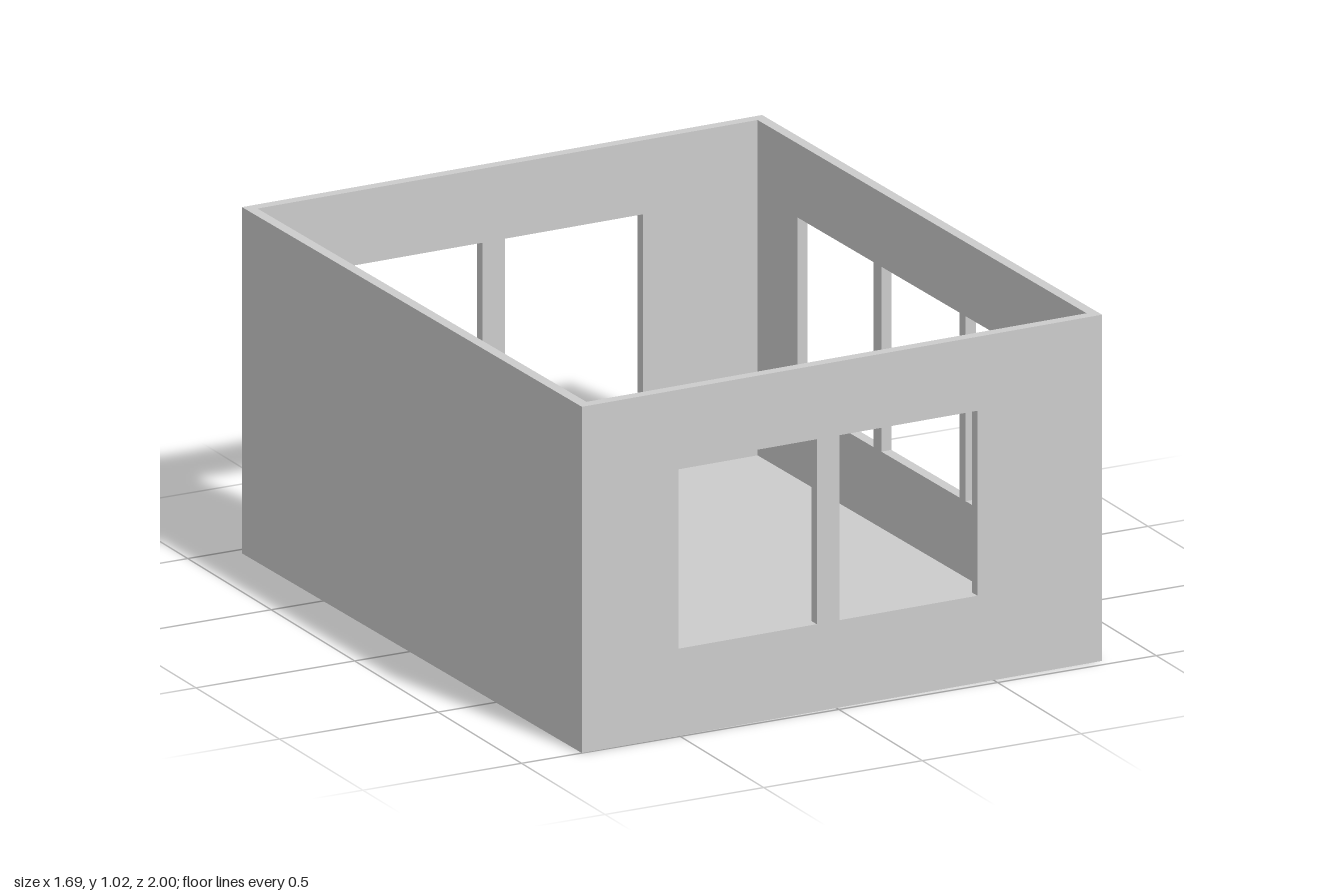
import * as THREE from 'three';

const W = 1.655, D = 1.97, H = 1.02, T = 0.032; // outer width, depth, height, wall thickness
const SILL = 0.257, HEAD = 0.802;               // window opening heights

const material = new THREE.MeshStandardMaterial({ color: 0xcccccc });

function rect(path, x0, y0, x1, y1) {
  path.moveTo(x0, y0);
  path.lineTo(x1, y0);
  path.lineTo(x1, y1);
  path.lineTo(x0, y1);
  path.closePath();
  return path;
}

// Upright wall in the xy plane with window openings given as [from, to] along its length
function wall(name, length, windows) {
  const shape = rect(new THREE.Shape(), -length / 2, 0, length / 2, H);
  for (const [a, b] of windows) shape.holes.push(rect(new THREE.Path(), a, SILL, b, HEAD));
  const geometry = new THREE.ExtrudeGeometry(shape, { depth: T, bevelEnabled: false });
  const mesh = new THREE.Mesh(geometry, material);
  mesh.name = name;
  return mesh;
}

export function createModel() {
  const room = new THREE.Group();
  room.name = 'room';

  // Front and back walls with matching pairs of windows
  const pair = [[-0.52, -0.08], [-0.008, 0.431]];
  const front = wall('frontWall', W, pair);
  front.position.z = D / 2 - T;
  const back = wall('backWall', W, pair);
  back.position.z = -D / 2;

  // Left wall with three windows, right wall solid; both fit between front and back
  const left = wall('leftWall', D - 2 * T, [[-0.695, -0.253], [-0.218, 0.236], [0.281, 0.721]]);
  left.rotation.y = Math.PI / 2;
  left.position.x = W / 2 - T;
  const right = wall('rightWall', D - 2 * T, []);
  right.rotation.y = Math.PI / 2;
  right.position.x = -W / 2;

  // Floor slab inside the walls
  const floor = new THREE.Mesh(new THREE.BoxGeometry(W - 2 * T, T, D - 2 * T), material);
  floor.name = 'floor';
  floor.position.y = T / 2;

  room.add(front, back, left, right, floor);
  room.rotation.y = 0.018; // the room stands slightly turned

  const model = new THREE.Group();
  model.add(room);
  return model;
}
